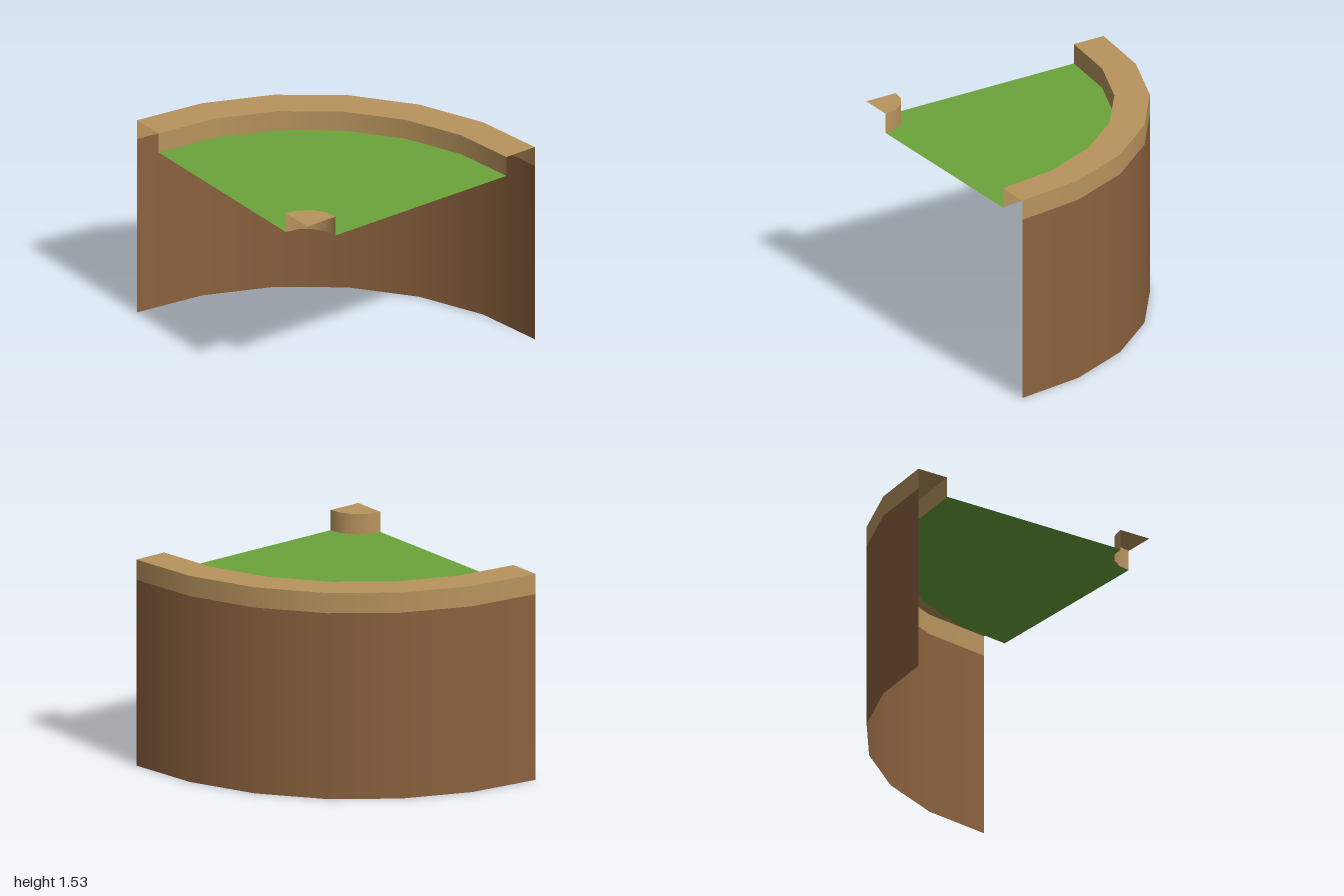
import * as THREE from 'three';

const GROUND = 1.38, TOP = 1.53;
const OUTER = 2, INNER = 1.75, SMALL = 0.25;
const OUTER_SEGS = 6, SMALL_SEGS = 4;
const QUARTER = Math.PI / 2;

// Points of a quarter arc around the corner
function arc(r, segs) {
  return Array.from({ length: segs + 1 }, (_, i) => {
    const a = (i / segs) * QUARTER;
    return new THREE.Vector2(r * Math.cos(a), r * Math.sin(a));
  });
}

// Flat horizontal piece between an outer arc and an inner outline
function slab(outer, inner, y) {
  const g = new THREE.ShapeGeometry(new THREE.Shape([...outer, ...inner.reverse()]));
  return g.rotateX(-QUARTER).translate(0, y, 0);
}

// Open, smooth, curved wall
function wall(r, segs, y0, y1) {
  const g = new THREE.CylinderGeometry(r, r, y1 - y0, segs, 1, true, QUARTER, QUARTER);
  return g.translate(0, (y0 + y1) / 2, 0);
}

export function createModel() {
  const material = (name, color) => {
    const m = new THREE.MeshStandardMaterial({ color, side: THREE.DoubleSide });
    m.name = name;
    return m;
  };
  const grass = material('grass', 0x6ca53c);
  const stone = material('tan rim', 0xb9945e);
  const earth = material('brown earth', 0x8b623e);

  const model = new THREE.Group();
  model.name = 'curvedCliffTile';
  const add = (name, geometry, mat) => {
    const mesh = new THREE.Mesh(geometry, mat);
    mesh.name = name;
    mesh.position.set(-1, 0, 1); // centre of all arcs
    model.add(mesh);
  };

  // Ground and cliff
  add('grassFloor', slab(arc(INNER, OUTER_SEGS), arc(SMALL, SMALL_SEGS), GROUND), grass);
  add('cliffWall', wall(OUTER, OUTER_SEGS, 0, GROUND), earth);

  // Raised outer rim, open at its ends
  add('rimTop', slab(arc(OUTER, OUTER_SEGS), arc(INNER, OUTER_SEGS), TOP), stone);
  add('rimOuterSide', wall(OUTER, OUTER_SEGS, GROUND, TOP), stone);
  add('rimInnerSide', wall(INNER, OUTER_SEGS, GROUND, TOP), stone);

  // Small rim at the inner corner
  add('cornerTop', slab(arc(SMALL, SMALL_SEGS), [new THREE.Vector2(0, 0)], TOP), stone);
  add('cornerSide', wall(SMALL, SMALL_SEGS, GROUND, TOP), stone);

  return model;
}
